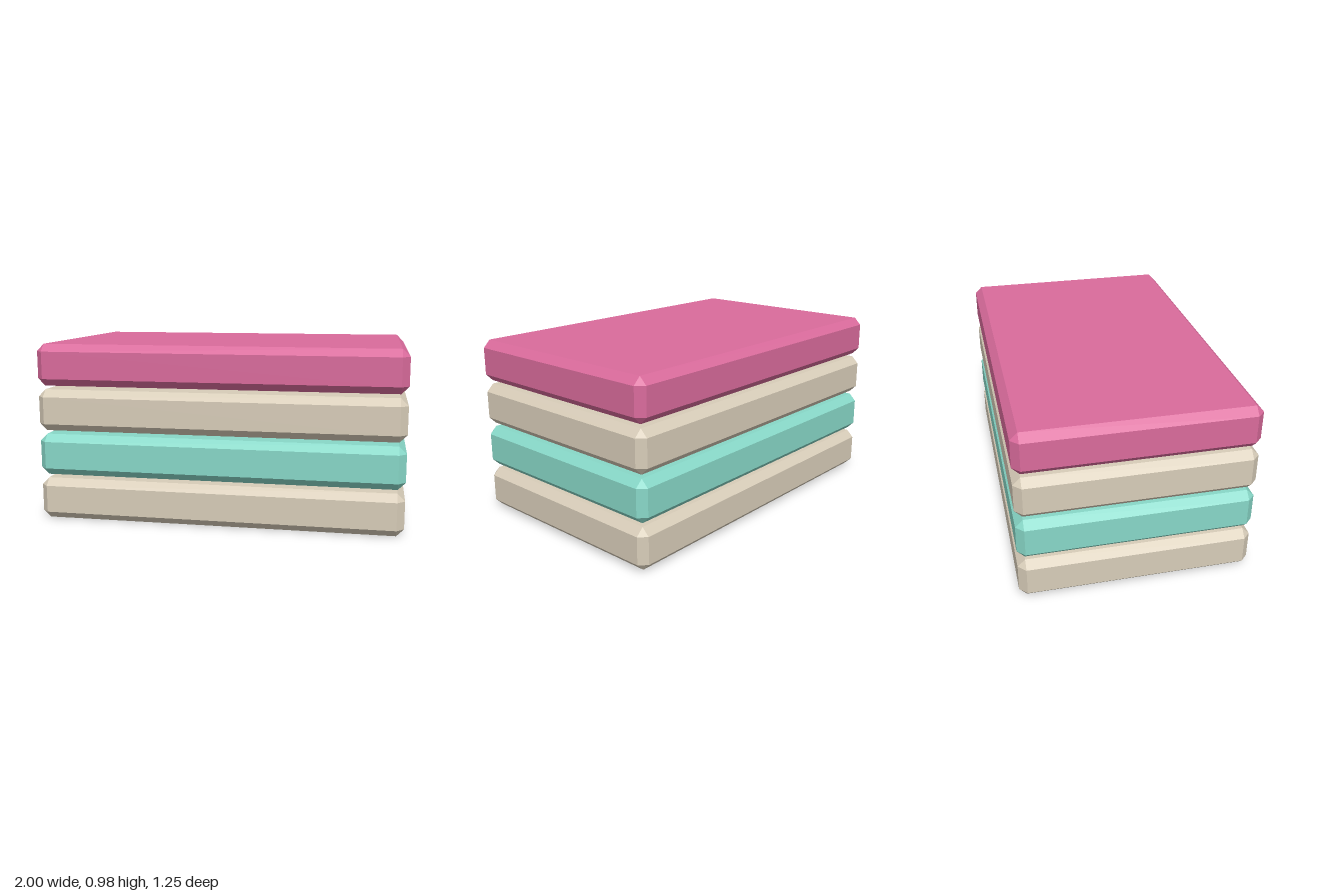
import * as THREE from 'three';
import { ConvexGeometry } from 'three/addons/geometries/ConvexGeometry.js';

// Box with every edge cut at 45 degrees and a triangle at each corner
function chamferedBox(width, height, depth, cut) {
  const half = [width / 2, height / 2, depth / 2];
  const points = [];
  for (const sx of [-1, 1]) for (const sy of [-1, 1]) for (const sz of [-1, 1]) {
    for (let axis = 0; axis < 3; axis++) {
      // the point lies on the face of one axis and is inset along the other two
      const [x, y, z] = half.map((h, i) => (i === axis ? h : h - cut));
      points.push(new THREE.Vector3(sx * x, sy * y, sz * z));
    }
  }
  return new ConvexGeometry(points);
}

function flatColor(name, color) {
  const material = new THREE.MeshStandardMaterial({ color });
  material.name = name;
  return material;
}

export function createModel() {
  const group = new THREE.Group();
  group.name = 'foldedStack';

  const beige = flatColor('beige', 0xd8cdb9);
  const teal = flatColor('teal', 0x88d8c8);
  const pink = flatColor('pink', 0xda6b9c);

  // Four equal slabs, stacked with a narrow gap between them
  const height = 0.23, spacing = 0.25;
  const slab = chamferedBox(2, height, 1.245, 0.04);
  const layers = [
    ['bottomSlab', beige],
    ['lowerMiddleSlab', teal],
    ['upperMiddleSlab', beige],
    ['topSlab', pink],
  ];
  layers.forEach(([name, material], i) => {
    const mesh = new THREE.Mesh(slab, material);
    mesh.name = name;
    mesh.position.y = height / 2 + i * spacing;
    group.add(mesh);
  });

  return group;
}
